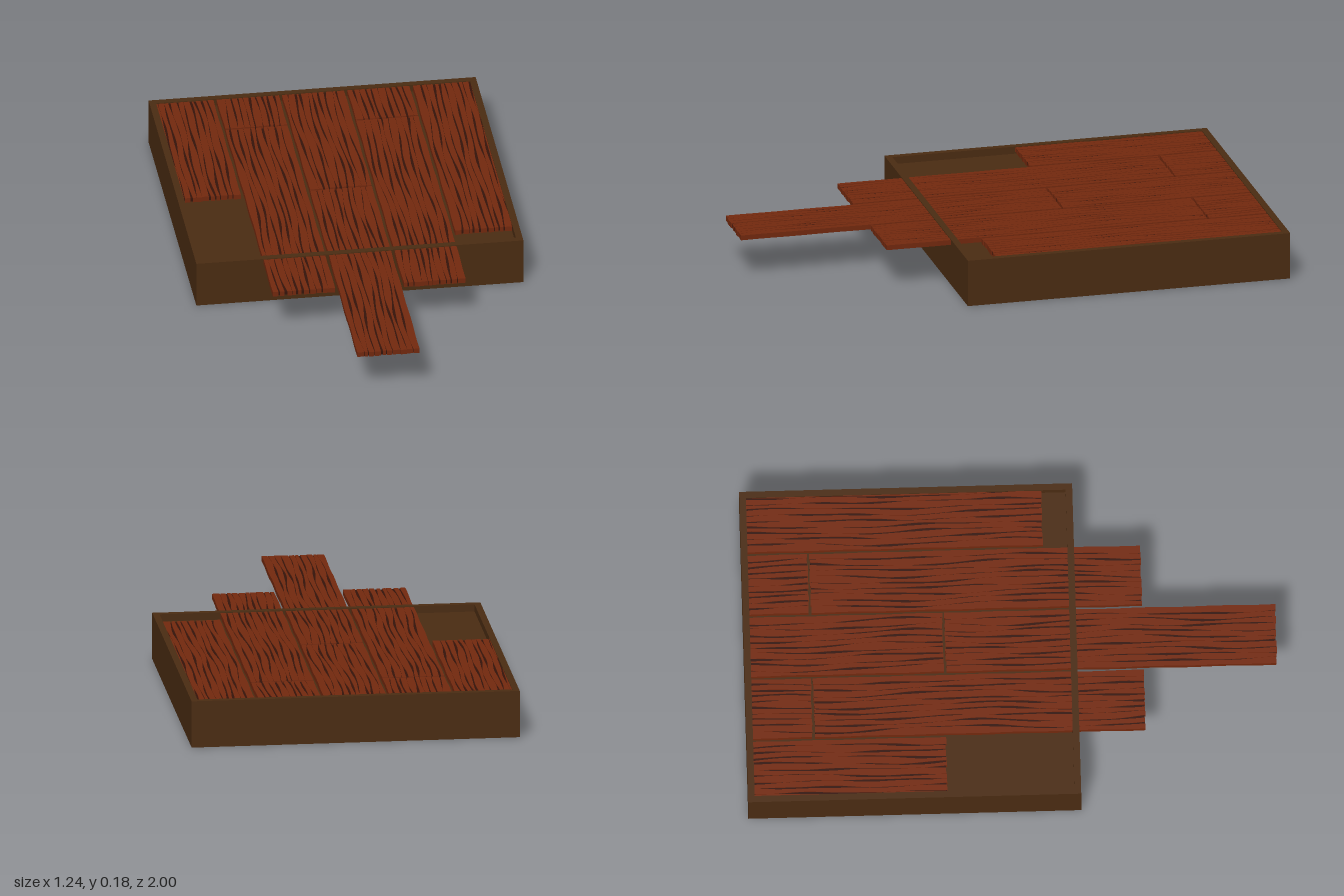
import * as THREE from 'three';
import { mergeGeometries } from 'three/addons/utils/BufferGeometryUtils.js';

const boxMat = new THREE.MeshStandardMaterial({ color: 0x4b2c12 });
const plankMat = new THREE.MeshStandardMaterial({ color: 0x74290e });
const grooveMat = new THREE.MeshStandardMaterial({ color: 0x35140a });

// box body: width, depth and height, with a shallow tray in the top
const W = 1.24, Z0 = -1, Z1 = 0.25, H = 0.18, RIM = 0.025, FLOOR = 0.152;
const PLANK_W = 0.235, PLANK_T = 0.019, PLANK_TOP = 0.177;

function seeded(seed) {
  let s = seed * 7919 + 17;
  return () => (s = (s * 16807) % 2147483647) / 2147483647;
}

function rect(target, x0, x1, y0, y1) {
  target.moveTo(x0, y0).lineTo(x1, y0).lineTo(x1, y1).lineTo(x0, y1).closePath();
  return target;
}

// outline in x and z, extruded downwards from y = 0
function slab(shape, depth) {
  return new THREE.ExtrudeGeometry(shape, { depth, bevelEnabled: false }).rotateX(Math.PI / 2);
}

function makeMesh(name, geometry, material, y = 0) {
  const mesh = new THREE.Mesh(geometry, material);
  mesh.name = name;
  mesh.position.y = y;
  return mesh;
}

// plank: raised strips of wood with wandering, tapering grooves between them
function makePlank(name, cx, z0, z1, seed) {
  const rnd = seeded(seed);
  const plank = new THREE.Group();
  plank.name = name;
  const strips = 10, steps = Math.ceil((z1 - z0) / 0.02);
  const step = PLANK_W / strips;

  // one wandering centre line and one width for every groove
  const lines = [];
  for (let i = 0; i <= strips; i++) {
    const p = [rnd(), rnd(), rnd(), rnd()].map((v) => v * 6.28);
    const f = 5 + rnd() * 4;
    const edge = i === 0 || i === strips;
    lines.push({
      mid: (z) => cx - PLANK_W / 2 + i * step + (edge
        ? 0.001 * Math.sin(23 * z + p[0])
        : 0.004 * Math.sin(f * z + p[0]) + 0.002 * Math.sin(17 * z + p[1])
          + 0.005 * Math.sin(7 * z + seed)),
      half: (z) => (edge ? 0 : Math.max(0.0004,
        0.0024 + 0.0018 * Math.sin(11 * z + p[2]) + 0.001 * Math.sin(29 * z + p[3]))),
    });
  }

  const parts = [];
  for (let i = 0; i < strips; i++) {
    const a = lines[i], b = lines[i + 1], left = [], right = [];
    const trim0 = rnd() * 0.004, trim1 = rnd() * 0.004;
    for (let k = 0; k <= steps; k++) {
      const z = THREE.MathUtils.lerp(z0 + trim0, z1 - trim1, k / steps);
      left.push(new THREE.Vector2(a.mid(z) + a.half(z), z));
      right.push(new THREE.Vector2(b.mid(z) - b.half(z), z));
    }
    parts.push(slab(new THREE.Shape([...right, ...left.reverse()]), PLANK_T));
  }
  plank.add(makeMesh('woodStrips', mergeGeometries(parts), plankMat, PLANK_TOP));

  // dark heart seen at the bottom of the grooves
  const core = rect(new THREE.Shape(), cx - PLANK_W / 2 + 0.003, cx + PLANK_W / 2 - 0.003,
    z0 + 0.004, z1 - 0.004);
  plank.add(makeMesh('grooveBed', slab(core, PLANK_T - 0.006), grooveMat, PLANK_TOP - 0.003));
  return plank;
}

export function createModel() {
  const model = new THREE.Group();
  model.name = 'plankedBox';

  // solid base and the frame around the tray
  const base = rect(new THREE.Shape(), -W / 2, W / 2, Z0, Z1);
  model.add(makeMesh('base', slab(base, FLOOR), boxMat, FLOOR));
  const frame = rect(new THREE.Shape(), -W / 2, W / 2, Z0, Z1);
  frame.holes.push(rect(new THREE.Path(), -W / 2 + RIM, W / 2 - RIM, Z0 + RIM, Z1 - RIM));
  model.add(makeMesh('frame', slab(frame, H - FLOOR), boxMat, H));

  // staggered planks: column centre, then start and end in z
  const back = Z0 + 0.002;
  const layout = [
    ['rightOuterPlank', -0.496, back, -0.25],
    ['rightBackPlank', -0.248, back, -0.75],
    ['rightLongPlank', -0.248, -0.745, 0.5],
    ['middleBackPlank', 0, back, -0.25],
    ['middleLongPlank', 0, -0.245, 1],
    ['leftBackPlank', 0.248, back, -0.75],
    ['leftLongPlank', 0.248, -0.745, 0.5],
    ['leftOuterPlank', 0.496, back, 0.135],
  ];
  layout.forEach(([name, x, z0, z1], i) => model.add(makePlank(name, x, z0, z1, i + 1)));
  return model;
}
